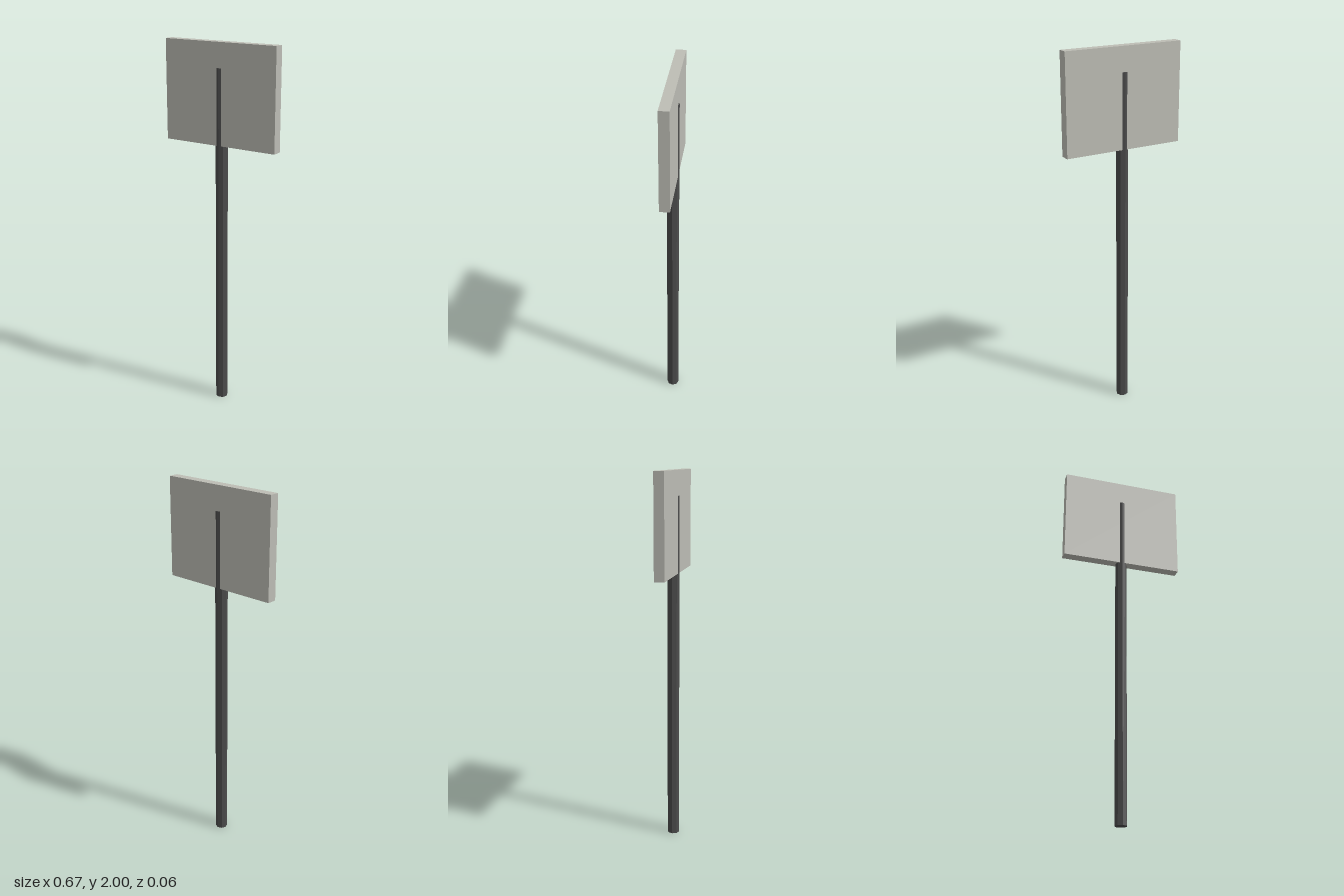
import * as THREE from 'three';

export function createModel() {
  const model = new THREE.Group();
  model.name = 'signpost';

  const paleGrey = new THREE.MeshStandardMaterial({ color: 0xbdbdb5, flatShading: true });
  paleGrey.name = 'pale grey';
  const darkGrey = new THREE.MeshStandardMaterial({ color: 0x4b4b4b, flatShading: true });
  darkGrey.name = 'dark grey';

  const addPart = (name, geometry, material, y) => {
    const mesh = new THREE.Mesh(geometry, material);
    mesh.name = name;
    mesh.position.y = y;
    model.add(mesh);
  };

  // Octagonal post, slightly thicker than the board so its ridges show front and back
  const postHeight = 1.87;
  addPart('post', new THREE.CylinderGeometry(0.0325, 0.0325, postHeight, 8), darkGrey, postHeight / 2);

  // Blank sign board around the top of the post
  const boardBottom = 1.47, boardTop = 2;
  addPart('signBoard', new THREE.BoxGeometry(0.666, boardTop - boardBottom, 0.053), paleGrey,
    (boardBottom + boardTop) / 2);

  return model;
}
